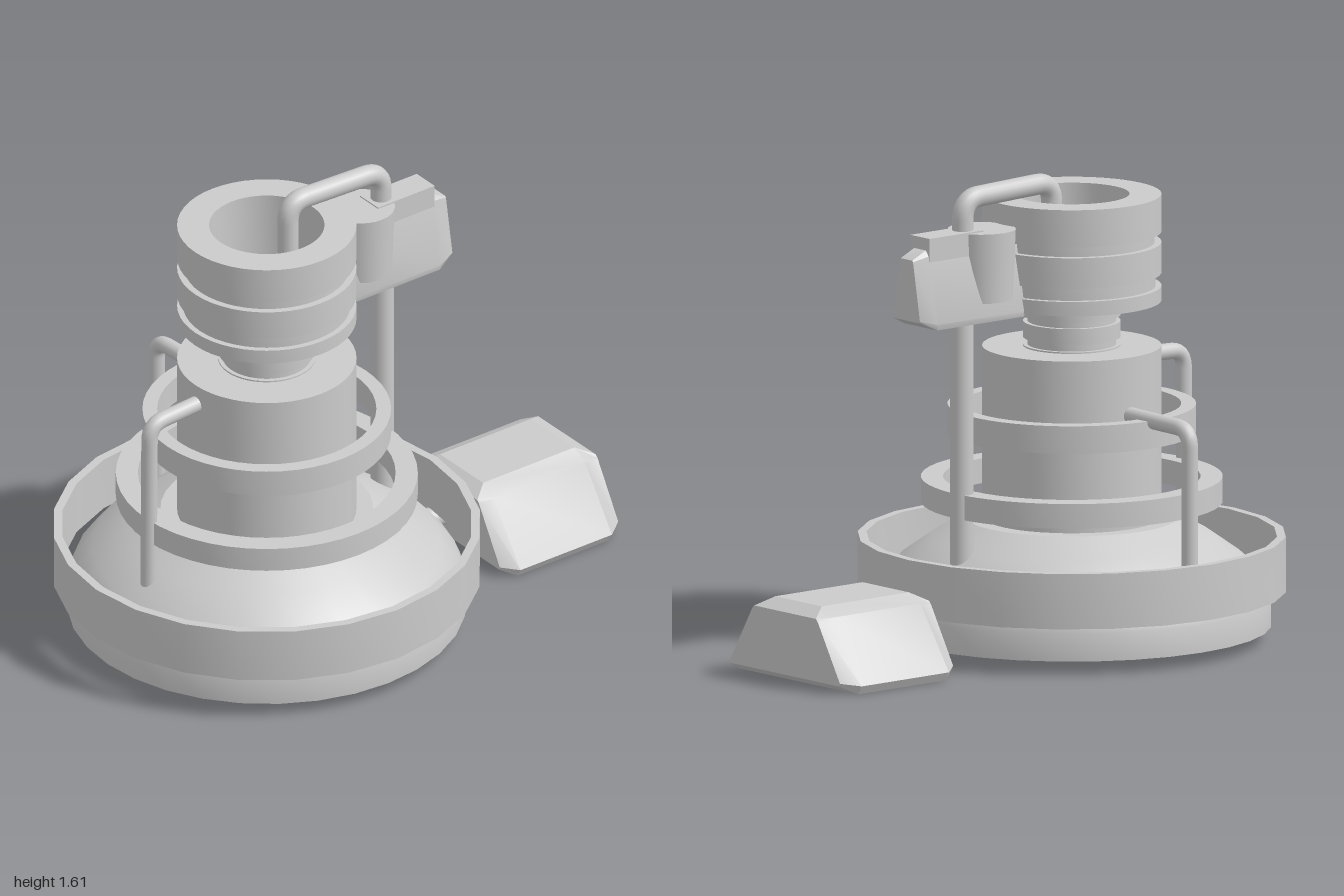
import * as THREE from 'three';
import { toCreasedNormals } from 'three/addons/utils/BufferGeometryUtils.js';

const AXIS = -0.275; // x of the tower's centre line

export function createModel() {
  const model = new THREE.Group();
  const material = new THREE.MeshStandardMaterial({ color: 0xcccccc });

  function add(name, geometry, x = 0, y = 0, z = 0) {
    const mesh = new THREE.Mesh(geometry, material);
    mesh.name = name;
    mesh.position.set(x, y, z);
    model.add(mesh);
    return mesh;
  }

  // Turned part from a [radius, y] profile running up the outside
  function turned(name, profile, segments = 48) {
    const points = profile.map(([r, y]) => new THREE.Vector2(r, y));
    add(name, toCreasedNormals(new THREE.LatheGeometry(points, segments), 0.5), AXIS);
  }

  const ring = (name, inner, outer, y0, y1, segments) =>
    turned(name, [[inner, y0], [outer, y0], [outer, y1], [inner, y1], [inner, y0]], segments);

  // Round pipe along straight runs with rounded bends
  function pipe(name, radius, bend, corners) {
    const p = corners.map((c) => new THREE.Vector3(...c));
    const path = new THREE.CurvePath();
    let from = p[0];
    for (let i = 1; i < p.length - 1; i++) {
      const before = p[i].clone().add(p[i - 1].clone().sub(p[i]).setLength(bend));
      const after = p[i].clone().add(p[i + 1].clone().sub(p[i]).setLength(bend));
      path.add(new THREE.LineCurve3(from, before));
      path.add(new THREE.QuadraticBezierCurve3(before, p[i], after));
      from = after;
    }
    path.add(new THREE.LineCurve3(from, p[p.length - 1]));
    add(name, new THREE.TubeGeometry(path, 64, radius, 16, false));
  }

  // Wedge along x with chamfered ends; half sections are [z, y] from bottom to top
  function wedge(name, endHalf, midHalf, x0, x1, chamfer0, chamfer1) {
    const loop = (half) => [...half.map(([z, y]) => [-z, y]), ...half.slice().reverse()];
    const xs = [x0, x0 + chamfer0, x1 - chamfer1, x1];
    const sections = [endHalf, midHalf, midHalf, endHalf].map((half, i) =>
      loop(half).map(([z, y]) => [xs[i], y, z]));
    const n = sections[0].length;
    const positions = [];
    const tri = (...corners) => corners.forEach((c) => positions.push(...c));
    for (let i = 0; i < 3; i++) {
      for (let j = 0; j < n; j++) {
        const k = (j + 1) % n;
        const [s, t] = [sections[i], sections[i + 1]];
        tri(s[j], s[k], t[k]);
        tri(s[j], t[k], t[j]);
      }
    }
    for (let j = 1; j < n - 1; j++) {
      tri(sections[0][0], sections[0][j + 1], sections[0][j]);
      tri(sections[3][0], sections[3][j], sections[3][j + 1]);
    }
    const geometry = new THREE.BufferGeometry();
    geometry.setAttribute('position', new THREE.Float32BufferAttribute(positions, 3));
    add(name, toCreasedNormals(geometry, 0.45));
  }

  // Domed base and the loose rings around the tower
  turned('base', [[0, 0.045], [0.675, 0.045], [0.675, 0.14], [0.655, 0.19],
    [0.59, 0.27], [0.47, 0.355], [0.36, 0.415], [0, 0.415]], 32);
  ring('baseRing', 0.695, 0.725, 0.165, 0.355, 24);
  ring('lowerRing', 0.435, 0.51, 0.47, 0.555);
  ring('upperRing', 0.37, 0.42, 0.71, 0.805);

  // Column and ribbed neck
  turned('column', [[0, 0.4], [0.303, 0.4], [0.303, 1.005], [0, 1.005]]);
  turned('neck', [[0, 1], [0.165, 1], [0.165, 1.01], [0.15, 1.01], [0.15, 1.035],
    [0.165, 1.035], [0.165, 1.09], [0.15, 1.09], [0.15, 1.11], [0.165, 1.11],
    [0.165, 1.17], [0, 1.17]]);

  // Grooved head with an open bore
  turned('head', [[0, 1.16], [0.303, 1.16], [0.303, 1.21], [0.283, 1.21], [0.283, 1.255],
    [0.303, 1.255], [0.303, 1.36], [0.28, 1.36], [0.28, 1.397], [0.303, 1.397],
    [0.303, 1.525], [0.195, 1.525], [0.195, 1.22], [0, 1.22]]);

  // Pipes
  pipe('supportPipe', 0.04, 0.05, [[0.215, 0.28, 0], [0.215, 1.2, 0]]);
  pipe('topPipe', 0.036, 0.07, [[-0.185, 1.21, 0], [-0.185, 1.578, 0], [0.21, 1.565, 0], [0.21, 1.4, 0]]);
  pipe('sidePipe', 0.028, 0.06, [[-0.785, 0.28, 0.01], [-0.78, 0.925, 0.01], [-0.5, 0.935, 0]]);
  pipe('backPipe', 0.028, 0.06, [[-0.285, 0.26, -0.6], [-0.285, 0.798, -0.6], [AXIS, 0.808, -0.25]]);

  // Side control: drum, cap block and wedge
  add('controlDrum', new THREE.CylinderGeometry(0.115, 0.105, 0.24, 32), 0.125, 1.335, 0);
  add('controlBlock', new THREE.BoxGeometry(0.24, 0.12, 0.1), 0.28, 1.4, 0);
  wedge('controlWedge',
    [[0.066, 1.18], [0.07, 1.185], [0.034, 1.385], [0.03, 1.39]],
    [[0.085, 1.15], [0.09, 1.17], [0.046, 1.4], [0.03, 1.42]], 0, 0.46, 0.01, 0.065);

  // Floor pedal and its connecting rod
  const rod = add('pedalRod', new THREE.CylinderGeometry(0.037, 0.037, 0.22, 20), 0.43, 0.128, 0);
  rod.rotation.z = Math.PI / 2;
  wedge('pedal',
    [[0.28, 0.03], [0.285, 0.04], [0.17, 0.235], [0.16, 0.245]],
    [[0.31, 0], [0.328, 0.03], [0.18, 0.245], [0.12, 0.275]], 0.497, 1, 0.055, 0.06);

  return model;
}
